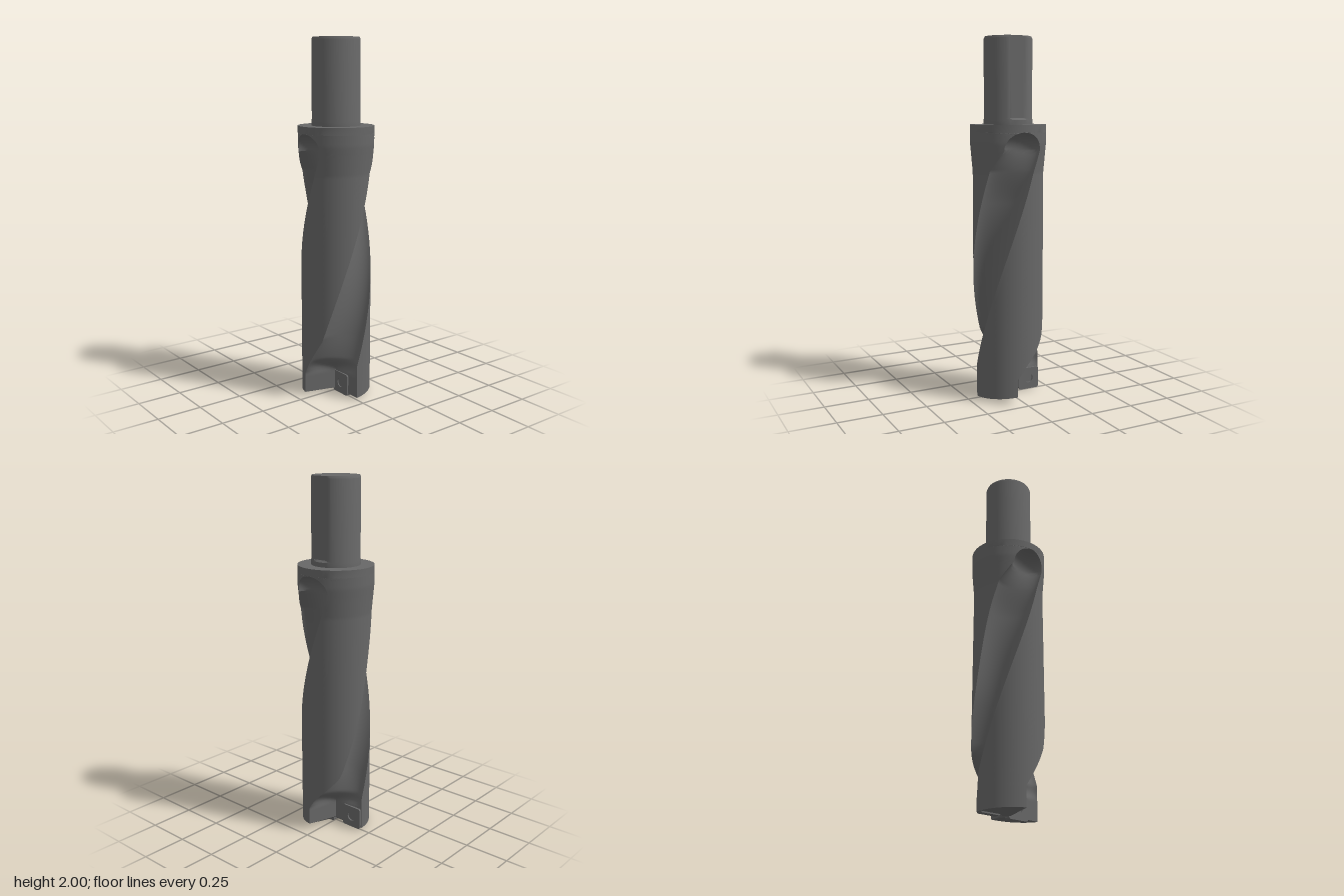
import * as THREE from 'three';
import { toCreasedNormals } from 'three/addons/utils/BufferGeometryUtils.js';

const RAD = Math.PI / 180;
const { lerp, smoothstep, clamp } = THREE.MathUtils;
const steel = new THREE.MeshStandardMaterial({ color: 0x676767 });

const FLUTE = 22, LAND = 26, HALF = FLUTE + LAND; // points per flute, land and half section
const BODY_BOTTOM = 0.012, CAP_START = 1.39, FLUTE_END = 1.49, BODY_TOP = 1.53;

// Straight body with a conical flare up to the collar
const bodyRadius = (y) => lerp(0.195, 0.209, clamp((y - 1.27) / 0.16, 0, 1));

// Edge angles (degrees from +z towards +x) of a flute, and its floor radius.
// The second flute is narrower along its lower edge.
function fluteAt(y, narrow) {
  const h = Math.min(y, CAP_START);
  let low = h < 0.13 ? -11 : h < 0.35 ? lerp(-11, 30, (h - 0.13) / 0.22) : 30 + 100 * (h - 0.35);
  low += 120 * Math.max(0, h - 1.28);
  if (narrow) low += smoothstep(h, 0.15, 0.4) * lerp(18, 4, smoothstep(h, 0.6, 1.2));
  const high = 90 + 100 * Math.max(0, h - 0.2);
  const mid = (low + high) / 2;
  // Rounded upper end
  const t = clamp((y - CAP_START) / (FLUTE_END - CAP_START), 0, 1);
  const round = Math.sqrt(1 - t * t);
  const half = Math.max(0.05, (high - low) / 2 * round);
  const R = bodyRadius(y);
  let floor = lerp(0.012, 0.07, smoothstep(y, 0.12, 0.22));
  floor = lerp(floor, 0.108, smoothstep(y, 1.1, CAP_START));
  floor = lerp(R, floor, round);
  return {
    low: (mid - half) * RAD, high: (mid + half) * RAD, mid: mid * RAD,
    floor: Math.min(floor, R * Math.cos(half * RAD)),
    // 1 gives a square-cornered pocket, 2 a rounded groove
    power: lerp(1, 2, smoothstep(y, 0.12, 0.2)),
  };
}

const polar = (r, a) => new THREE.Vector2(r * Math.sin(a), r * Math.cos(a));

// One flute and the land up to the start of the next flute
function halfSection(R, f, nextLow) {
  const points = [];
  const a = polar(R, f.low), b = polar(R, f.high);
  const centre = a.clone().add(b).multiplyScalar(0.5);
  const across = b.clone().sub(centre), down = polar(f.floor, f.mid).sub(centre);
  for (let i = 0; i < FLUTE; i++) {
    const s = (i / FLUTE - 0.5) * Math.PI, e = 2 / f.power;
    const u = Math.sign(s) * Math.abs(Math.sin(s)) ** e;
    const v = Math.cos(s) ** e;
    points.push(centre.clone().addScaledVector(across, u).addScaledVector(down, v));
  }
  for (let i = 0; i < LAND; i++) points.push(polar(R, lerp(f.high, nextLow + Math.PI, i / LAND)));
  return points;
}

function section(y) {
  const R = bodyRadius(y), wide = fluteAt(y, false), slim = fluteAt(y, true);
  const second = halfSection(R, slim, wide.low).map((p) => p.negate());
  return halfSection(R, wide, slim.low).concat(second);
}

function flutedBody() {
  // Heights of the sections, closer together at the rounded flute ends
  const heights = [];
  for (let i = 0; i < 138; i++) heights.push(lerp(BODY_BOTTOM, CAP_START, i / 138));
  for (let i = 0; i <= 14; i++) heights.push(lerp(CAP_START, FLUTE_END, Math.sin(i / 14 * Math.PI / 2)));
  heights.push(BODY_TOP);

  const n = 2 * HALF, last = (heights.length - 1) * n, pos = [], idx = [];
  for (const y of heights) {
    // The end face rises behind each cutting edge, more on the back land
    const fade = Math.max(0, 1 - (y - BODY_BOTTOM) / 0.08);
    section(y).forEach((p, i) => {
      const k = i % HALF, inFlute = k < FLUTE;
      const rise = inFlute ? 1 - k / FLUTE : (k - FLUTE) / LAND;
      const amount = (i < HALF) === inFlute ? 0.007 : 0.024;
      pos.push(p.x, y + amount * rise * fade, p.y);
    });
  }
  const bottom = pos.length / 3, top = bottom + 1;
  pos.push(0, BODY_BOTTOM, 0, 0, BODY_TOP, 0);
  for (let i = 0; i < n; i++) {
    const k = (i + 1) % n;
    for (let j = 0; j < last; j += n) {
      const a = j + i, b = j + k;
      idx.push(a, b, b + n, a, b + n, a + n);
    }
    idx.push(bottom, k, i, top, last + i, last + k);
  }
  const g = new THREE.BufferGeometry();
  g.setAttribute('position', new THREE.Float32BufferAttribute(pos, 3));
  g.setIndex(idx);
  return toCreasedNormals(g, 0.5);
}

// Round shank with a chamfered end and a clamping flat at the back
function shankGeometry() {
  const profile = [[0.134, 1.52], [0.134, 1.555], [0.132, 1.565], [0.132, 1.988], [0.127, 2], [0, 2]]
    .map(([r, y]) => new THREE.Vector2(r, y));
  const g = new THREE.LatheGeometry(profile, 64);
  const p = g.attributes.position;
  for (let i = 0; i < p.count; i++) {
    if (p.getY(i) > 1.56) p.setZ(i, Math.max(p.getZ(i), -0.12));
  }
  return toCreasedNormals(g, 0.4);
}

function add(parent, name, geometry, z = 0) {
  const mesh = new THREE.Mesh(geometry, steel);
  mesh.name = name;
  mesh.position.z = z;
  parent.add(mesh);
}

// Square cutting insert with a hole and a sunken socket screw, facing +z
function cuttingInsert(name, x, y) {
  const group = new THREE.Group();
  group.name = name;
  const s = 0.062, c = 0.008;
  const plate = new THREE.Shape();
  plate.moveTo(-s + c, -s).lineTo(s - c, -s).lineTo(s, -s + c).lineTo(s, s - c);
  plate.lineTo(s - c, s).lineTo(-s + c, s).lineTo(-s, s - c).lineTo(-s, -s + c).closePath();
  plate.holes.push(new THREE.Path().absarc(0, 0, 0.026, 0, Math.PI * 2, true));
  add(group, 'insertPlate', new THREE.ExtrudeGeometry(plate, { depth: 0.035, bevelEnabled: false, curveSegments: 16 }), -0.03);
  const head = new THREE.Shape().absarc(0, 0, 0.021, 0, Math.PI * 2);
  const corners = Array.from({ length: 6 }, (_, i) => polar(0.01, i * Math.PI / 3));
  head.holes.push(new THREE.Path(corners).closePath());
  add(group, 'screwHead', new THREE.ExtrudeGeometry(head, { depth: 0.02, bevelEnabled: false, curveSegments: 16 }), -0.024);
  add(group, 'screwSeat', new THREE.CylinderGeometry(0.026, 0.026, 0.012, 20).rotateX(Math.PI / 2), -0.022);
  group.position.set(x, y, 0.008);
  return group;
}

export function createModel() {
  const model = new THREE.Group();
  model.name = 'indexableDrill';
  add(model, 'flutedBody', flutedBody());
  add(model, 'shank', shankGeometry());

  // Inner insert in the front pocket, outer insert in the rear pocket
  model.add(cuttingInsert('innerInsert', 0.058, 0.062));
  const rear = new THREE.Group();
  rear.name = 'rearPocket';
  rear.rotation.y = Math.PI;
  rear.add(cuttingInsert('outerInsert', 0.128, 0.067));
  model.add(rear);
  return model;
}
